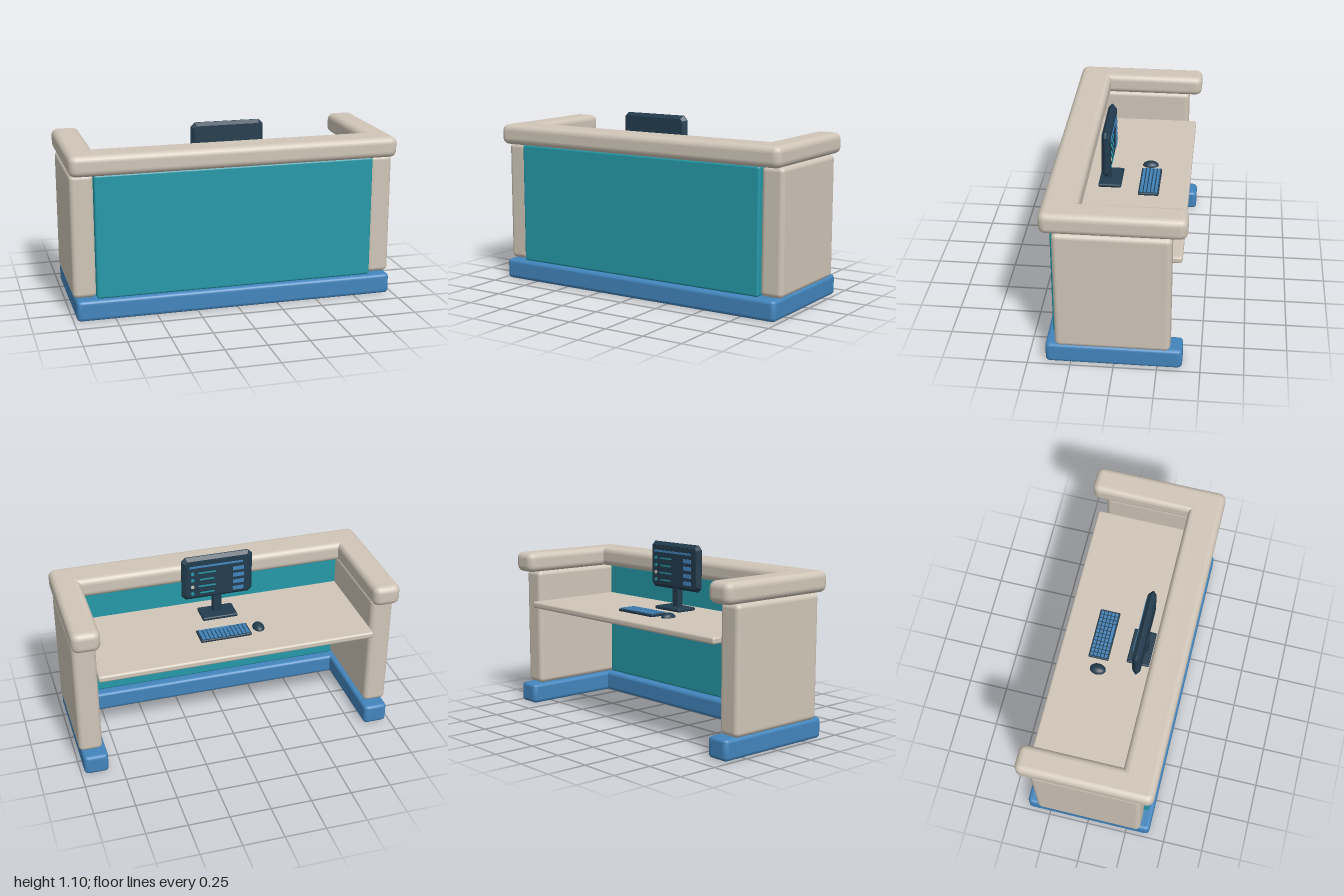
import * as THREE from 'three';
import { toCreasedNormals } from 'three/addons/utils/BufferGeometryUtils.js';
import { RoundedBoxGeometry } from 'three/addons/geometries/RoundedBoxGeometry.js';

const material = (name, color) => {
  const m = new THREE.MeshStandardMaterial({ color });
  m.name = name;
  return m;
};

// Smooth the rounded edges while keeping the large axis-aligned faces flat
function smoothEdges(geometry) {
  const g = toCreasedNormals(geometry, 0.7);
  const p = g.attributes.position, n = g.attributes.normal;
  const tri = new THREE.Triangle(), normal = new THREE.Vector3();
  for (let i = 0; i < p.count; i += 3) {
    tri.setFromAttributeAndIndices(p, i, i + 1, i + 2);
    tri.getNormal(normal);
    if (Math.max(...normal.toArray().map(Math.abs)) > 0.999) {
      for (let k = 0; k < 3; k++) n.setXYZ(i + k, normal.x, normal.y, normal.z);
    }
  }
  return g;
}

// U-shaped slab, open at the back, with rounded edges
function uSlab({ halfWidth, innerHalf, front, inner, back, y0, y1, bevel }) {
  const X = halfWidth - bevel, xi = innerHalf + bevel;
  const f = -(front - bevel), i = -(inner + bevel), b = -(back + bevel), r = 0.008;
  const s = new THREE.Shape();
  s.moveTo(-X + r, f);
  s.lineTo(X - r, f);
  s.quadraticCurveTo(X, f, X, f + r);
  s.lineTo(X, b - r);
  s.quadraticCurveTo(X, b, X - r, b);
  s.lineTo(xi + r, b);
  s.quadraticCurveTo(xi, b, xi, b - r);
  s.lineTo(xi, i);
  s.lineTo(-xi, i);
  s.lineTo(-xi, b - r);
  s.quadraticCurveTo(-xi, b, -xi - r, b);
  s.lineTo(-X + r, b);
  s.quadraticCurveTo(-X, b, -X, b - r);
  s.lineTo(-X, f + r);
  s.quadraticCurveTo(-X, f, -X + r, f);
  const g = new THREE.ExtrudeGeometry(s, {
    depth: y1 - y0 - 2 * bevel, bevelEnabled: true, bevelSize: bevel,
    bevelThickness: bevel, bevelSegments: 6, curveSegments: 4,
  });
  g.rotateX(-Math.PI / 2);
  g.translate(0, y0 + bevel, 0);
  return smoothEdges(g);
}

export function createModel() {
  const model = new THREE.Group();
  model.name = 'receptionDesk';
  const beige = material('warm beige', 0xd0c6b8);
  const teal = material('teal', 0x2599a8);
  const blue = material('blue', 0x4285bd);
  const dark = material('dark slate', 0x223c4e);

  const add = (parent, name, geometry, mat, x = 0, y = 0, z = 0) => {
    const mesh = new THREE.Mesh(geometry, mat);
    mesh.name = name;
    mesh.position.set(x, y, z);
    parent.add(mesh);
    return mesh;
  };
  const group = (name) => {
    const g = new THREE.Group();
    g.name = name;
    model.add(g);
    return g;
  };
  // Rounded box given by its limits on each axis
  const slab = (parent, name, mat, [x0, x1], [y0, y1], [z0, z1], radius, segments = 4) =>
    add(parent, name, new RoundedBoxGeometry(x1 - x0, y1 - y0, z1 - z0, segments, radius), mat,
      (x0 + x1) / 2, (y0 + y1) / 2, (z0 + z1) / 2);

  // Desk body
  add(model, 'base', uSlab({ halfWidth: 0.98, innerHalf: 0.83, front: 0.397, inner: 0.23,
    back: -0.395, y0: 0, y1: 0.125, bevel: 0.022 }), blue);
  add(model, 'counter', uSlab({ halfWidth: 1, innerHalf: 0.83, front: 0.408, inner: 0.2,
    back: -0.408, y0: 0.875, y1: 1, bevel: 0.038 }), beige);
  slab(model, 'leftPanel', beige, [0.85, 0.993], [0.124, 0.876], [-0.325, 0.338], 0.03);
  slab(model, 'rightPanel', beige, [-0.993, -0.85], [0.124, 0.876], [-0.325, 0.338], 0.03);
  slab(model, 'frontPanel', teal, [-0.856, 0.856], [0.124, 0.876], [0.28, 0.367], 0.014);
  slab(model, 'worktop', beige, [-0.856, 0.856], [0.64, 0.682], [-0.378, 0.29], 0.014);

  // Monitor with chamfered casing, facing the back
  const monitor = group('monitor');
  const w = 0.205, h = 0.125, c = 0.014;
  const outline = new THREE.Shape([
    [-w + c, -h], [w - c, -h], [w, -h + c], [w, h - c],
    [w - c, h], [-w + c, h], [-w, h - c], [-w, -h + c],
  ].map(([x, y]) => new THREE.Vector2(x, y)));
  add(monitor, 'casing', new THREE.ExtrudeGeometry(outline, {
    depth: 0.007, bevelEnabled: true, bevelSize: 0.02, bevelThickness: 0.02, bevelSegments: 1,
  }), dark, 0, 0.955, 0.119);
  add(monitor, 'screen', new THREE.BoxGeometry(0.4, 0.23, 0.006), dark, 0, 0.957, 0.097);
  slab(monitor, 'neck', dark, [-0.028, 0.028], [0.69, 0.88], [0.108, 0.152], 0.008, 2);
  slab(monitor, 'foot', dark, [-0.112, 0.112], [0.681, 0.703], [0.04, 0.18], 0.008, 2);

  // Screen display: header bar and four rows
  const plate = (name, mat, x, y, pw, ph) =>
    add(monitor, name, new THREE.BoxGeometry(pw, ph, 0.006), mat, x, y, 0.0925);
  plate('headerBar', blue, 0.01, 1.042, 0.34, 0.012);
  for (let row = 0; row < 4; row++) {
    const y = 0.998 - row * 0.046;
    const dot = new THREE.CylinderGeometry(0.011, 0.011, 0.006, 16).rotateX(Math.PI / 2);
    add(monitor, 'rowDot', dot, row === 2 ? beige : teal, 0.162, y, 0.0925);
    plate('rowLine', teal, 0.07, y, row % 2 ? 0.09 : 0.11, 0.008);
    plate('rowButton', blue, -0.13, y, 0.07, 0.024);
  }

  // Keyboard
  const keyboard = group('keyboard');
  slab(keyboard, 'keyboardBody', dark, [-0.131, 0.189], [0.681, 0.698], [-0.196, -0.07], 0.006, 2);
  const key = (x, z, kw) =>
    add(keyboard, 'key', new THREE.BoxGeometry(kw, 0.006, 0.016), blue, x, 0.7, z);
  const columns = 12, pitch = 0.0253, first = 0.029 - pitch * (columns - 1) / 2;
  for (let row = 0; row < 5; row++) {
    const z = -0.178 + row * 0.0225;
    for (let col = 0; col < columns; col++) {
      if (row === 4 && col >= 4 && col <= 8) continue;
      key(first + col * pitch, z, 0.019);
    }
  }
  key(first + 6 * pitch, -0.088, 0.12);

  // Mouse: half ellipsoid
  const mouse = add(model, 'mouse',
    new THREE.SphereGeometry(1, 24, 10, 0, Math.PI * 2, 0, Math.PI / 2), dark, -0.195, 0.681, -0.12);
  mouse.scale.set(0.036, 0.03, 0.05);

  return model;
}
